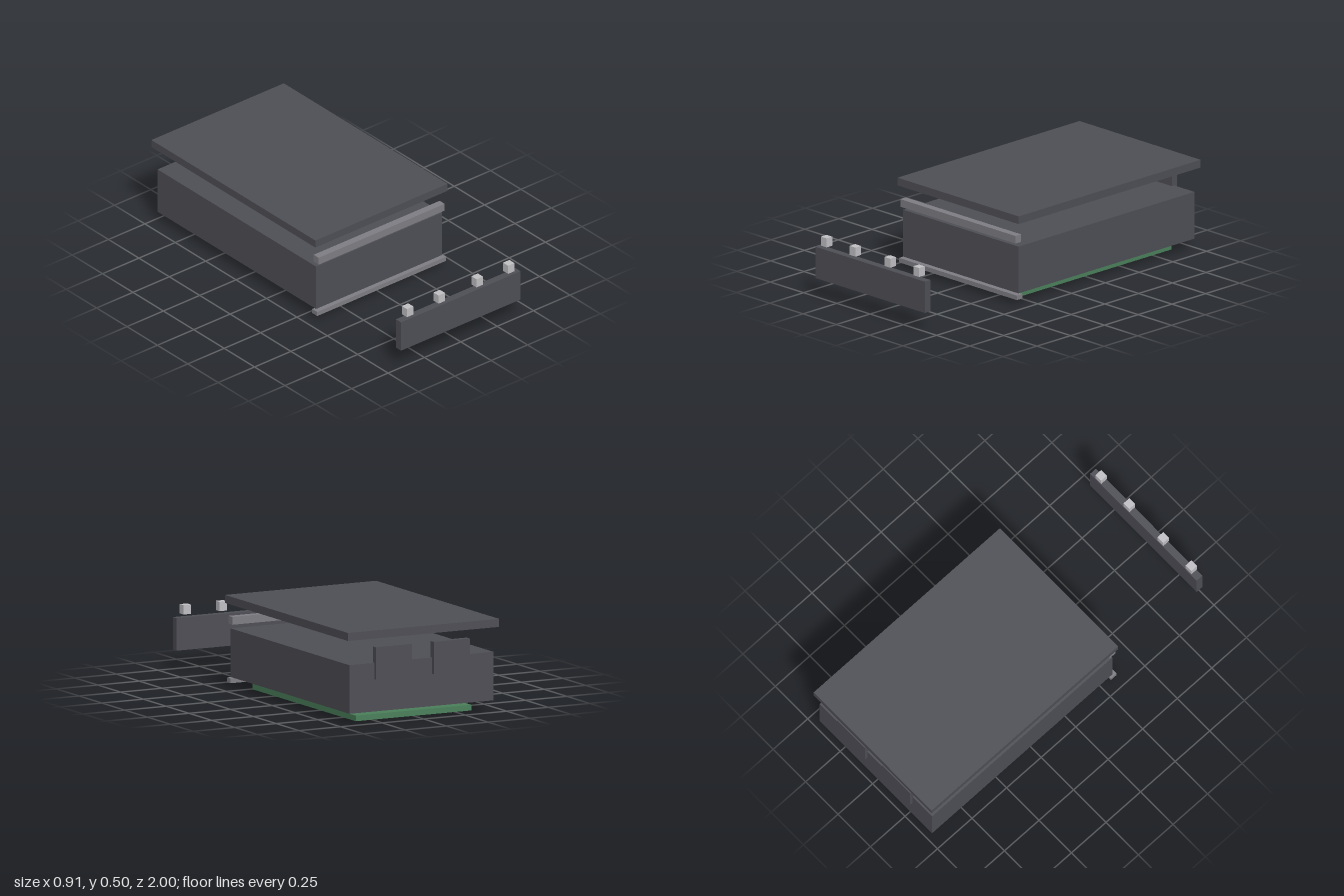
import * as THREE from 'three';

const makeMaterial = (name, color) => {
  const m = new THREE.MeshStandardMaterial({ color });
  m.name = name;
  return m;
};

export function createModel() {
  const model = new THREE.Group();
  model.name = 'explodedEnclosure';

  const charcoal = makeMaterial('charcoal', 0x4e4e56);
  const grey = makeMaterial('midGrey', 0x7f7e84);
  const silver = makeMaterial('silver', 0xc1c1c5);
  const green = makeMaterial('boardGreen', 0x4a805a);

  // Box given by its extents along each axis
  const box = (name, material, [x0, x1], [y0, y1], [z0, z1]) => {
    const mesh = new THREE.Mesh(new THREE.BoxGeometry(x1 - x0, y1 - y0, z1 - z0), material);
    mesh.position.set((x0 + x1) / 2, (y0 + y1) / 2, (z0 + z1) / 2);
    mesh.name = name;
    model.add(mesh);
  };

  // Main housing with its lifted lid
  box('housing', charcoal, [-0.433, 0.433], [0.06, 0.32], [-0.976, 0.328]);
  box('lid', charcoal, [-0.455, 0.455], [0.455, 0.498], [-1, 0.348]);

  // Circuit board and the chip on top of it
  box('circuitBoard', green, [-0.348, 0.348], [0, 0.03], [-0.89, 0.24]);
  box('chip', charcoal, [-0.13, 0.13], [0.03, 0.045], [-0.457, -0.196]);

  // Front rails above and below the housing opening
  box('upperRail', grey, [-0.433, 0.433], [0.342, 0.384], [0.308, 0.349]);
  box('lowerRail', grey, [-0.443, 0.443], [0.03, 0.055], [0.308, 0.349]);

  // Detached front panel
  box('frontPanel', charcoal, [-0.411, 0.411], [0.103, 0.277], [0.958, 1]);

  // Connector blocks above the front panel
  for (const x of [-0.348, -0.131, 0.13, 0.347]) {
    box('connector', silver, [x - 0.022, x + 0.022], [0.293, 0.343], [0.958, 1]);
  }

  // Rear plates
  for (const x of [-0.174, 0.174]) {
    box('rearPlate', charcoal, [x - 0.109, x + 0.109], [0.233, 0.406], [-0.993, -0.958]);
  }

  return model;
}
